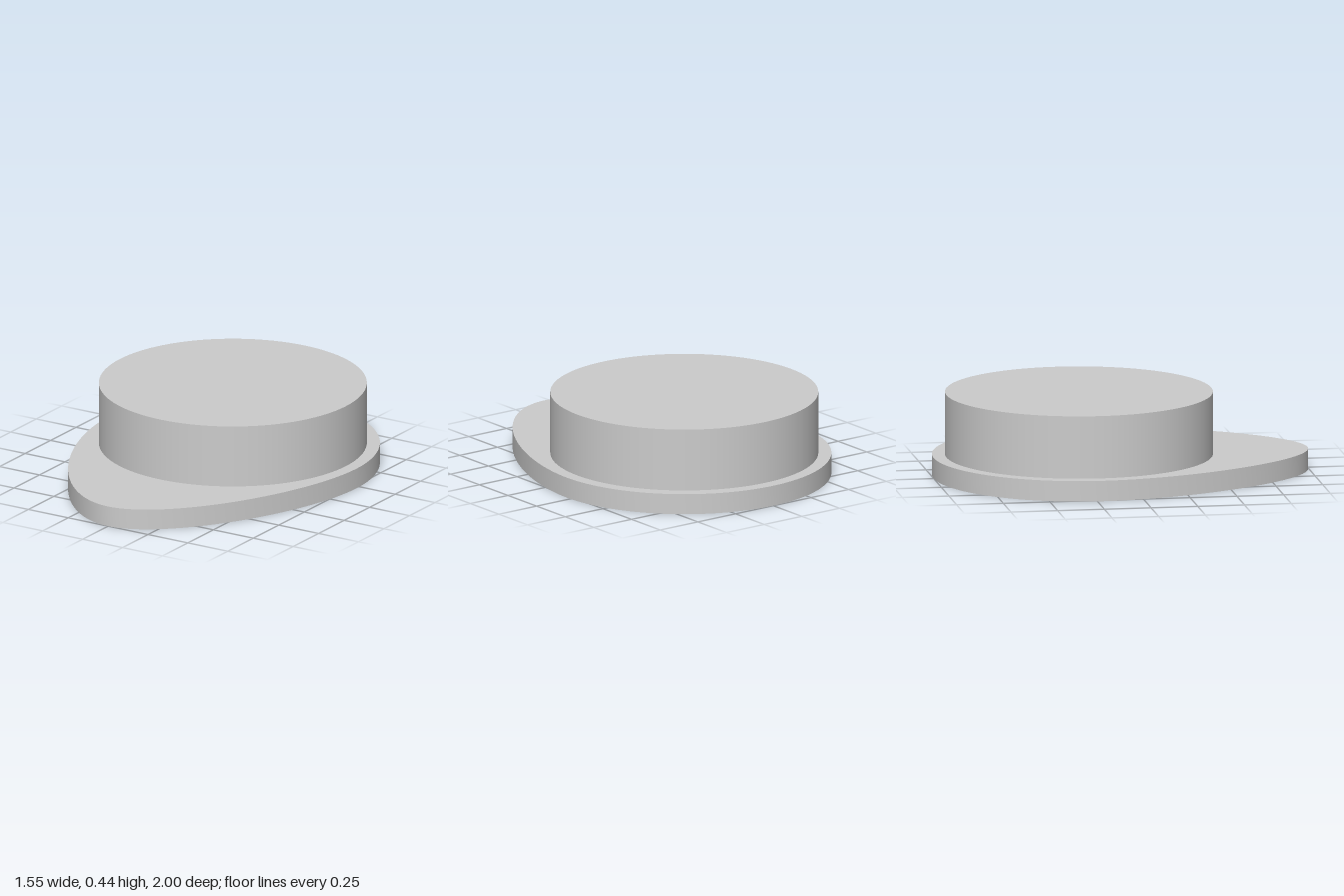
import * as THREE from 'three';
import { toCreasedNormals } from 'three/addons/utils/BufferGeometryUtils.js';

const BASE_HEIGHT = 0.11;
const TOP = 0.445;
const CENTRE_Z = -0.223; // shared centre of the drum and the round back of the base
const BACK_RADIUS = 0.777;
const DRUM_RADIUS = 0.708;

export function createModel() {
  const group = new THREE.Group();
  const material = new THREE.MeshStandardMaterial({ color: 0xcccccc });

  // Egg-shaped base: round at the back, tapering to the front (shape y = -z)
  const egg = new THREE.Shape();
  egg.moveTo(BACK_RADIUS, -CENTRE_Z);
  egg.absarc(0, -CENTRE_Z, BACK_RADIUS, 0, Math.PI, false);
  egg.bezierCurveTo(-BACK_RADIUS, -0.27, -0.36, -1, 0, -1);
  egg.bezierCurveTo(0.36, -1, BACK_RADIUS, -0.27, BACK_RADIUS, -CENTRE_Z);
  const baseGeometry = new THREE.ExtrudeGeometry(egg, {
    depth: BASE_HEIGHT, bevelEnabled: false, curveSegments: 48,
  });
  baseGeometry.rotateX(-Math.PI / 2);
  const base = new THREE.Mesh(toCreasedNormals(baseGeometry, 0.6), material);
  base.name = 'base';
  group.add(base);

  // Round drum standing on the base
  const height = TOP - BASE_HEIGHT;
  const drum = new THREE.Mesh(
    new THREE.CylinderGeometry(DRUM_RADIUS, DRUM_RADIUS, height, 96), material);
  drum.name = 'drum';
  drum.position.set(0, BASE_HEIGHT + height / 2, CENTRE_Z);
  group.add(drum);

  return group;
}
